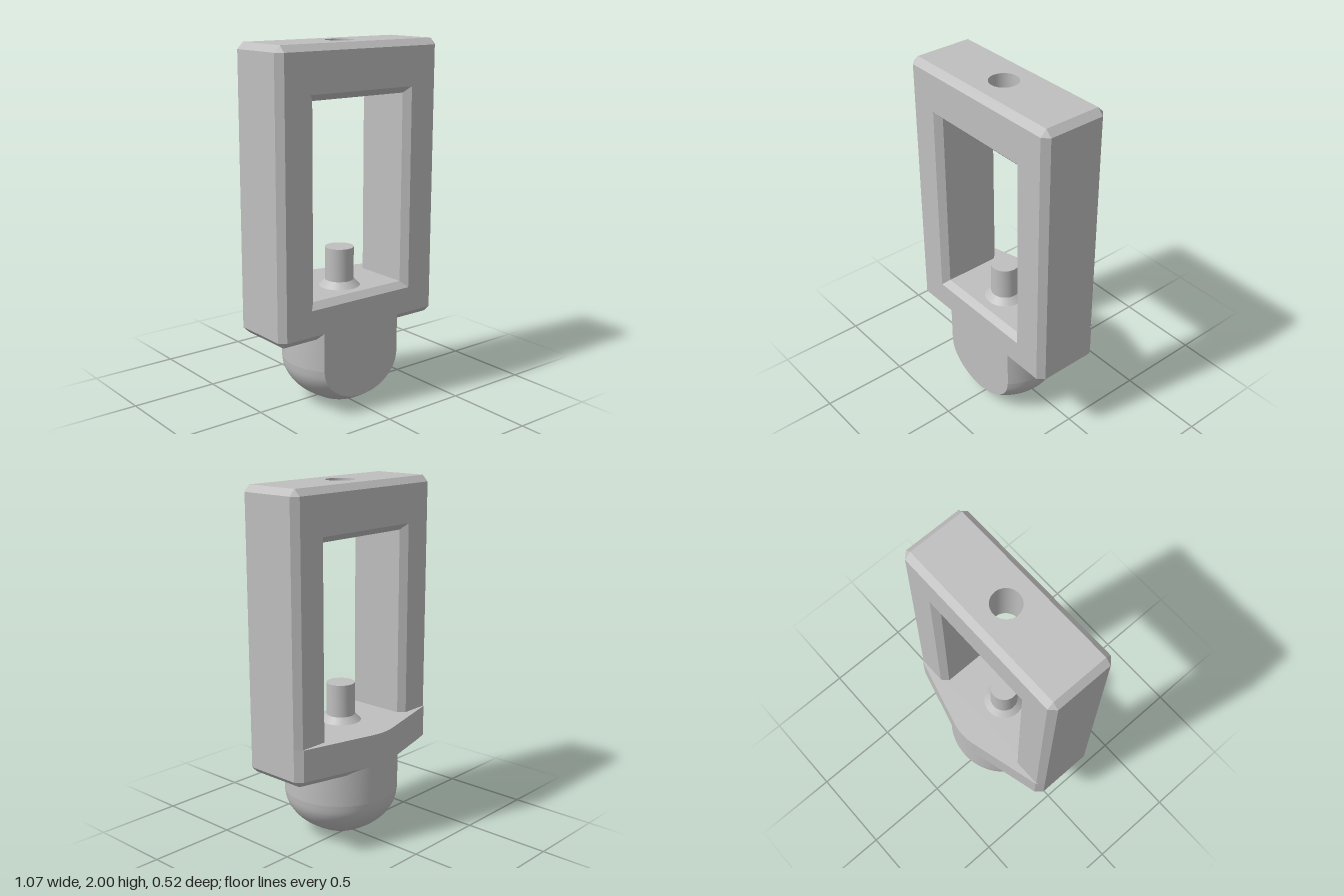
import * as THREE from 'three';
import { toCreasedNormals } from 'three/addons/utils/BufferGeometryUtils.js';

const AXIS_Z = 0.0625;   // z of the vertical axis shared by pin, bore and bowl
const FRONT = 0.26, BACK = -0.135, C = 0.035;   // frame faces and chamfer
const FLOOR = 0.655, CEILING = 1.715, TOP = 2, BOTTOM = 0.44;
const BOWL_R = 0.325, PIN_R = 0.08;

// Surface through rows of equally many points; skip(row, column) leaves openings.
function grid(rows, skip = () => false) {
  const n = rows[0].length, index = [];
  for (let k = 0; k < rows.length - 1; k++) {
    for (let j = 0; j < n - 1; j++) {
      if (skip(k, j)) continue;
      const a = k * n + j, b = a + 1, c = b + n, d = a + n;
      index.push(a, b, c, a, c, d);
    }
  }
  const geo = new THREE.BufferGeometry();
  geo.setAttribute('position', new THREE.Float32BufferAttribute(rows.flat(2), 3));
  geo.setIndex(index);
  geo.computeVertexNormals();
  return geo;
}

// Closed rectangular loop with corners cut by c, counter-clockwise from the front.
function loop(x, y0, y1, c, z) {
  const p = [
    [x - c, y0], [x, y0 + c], [x, y1 - c], [x - c, y1],
    [c - x, y1], [-x, y1 - c], [-x, y0 + c], [c - x, y0],
  ].map(([px, py]) => [px, py, z]);
  return [...p, p[0]];
}

// Horizontal panel pierced by the bore.
function boredPanel(halfWidth, y, facingUp) {
  const s = facingUp ? -1 : 1;
  const zs = [s * (BACK + C), s * (FRONT - C)];
  const shape = new THREE.Shape([
    [-halfWidth, zs[0]], [halfWidth, zs[0]], [halfWidth, zs[1]], [-halfWidth, zs[1]],
  ].map(([x, z]) => new THREE.Vector2(x, z)));
  const hole = new THREE.Path();
  hole.absarc(0, s * AXIS_Z, PIN_R, 0, Math.PI * 2);
  shape.holes.push(hole);
  return new THREE.ShapeGeometry(shape, 32).rotateX(s * Math.PI / 2).translate(0, y, 0);
}

export function createModel() {
  const group = new THREE.Group();
  const grey = new THREE.MeshStandardMaterial({ color: 0xbfbfbf, side: THREE.DoubleSide });
  grey.name = 'grey';
  const add = (name, geo) => {
    const mesh = new THREE.Mesh(geo, grey);
    mesh.name = name;
    group.add(mesh);
    return mesh;
  };

  // Frame: chamfered outside and window, wrapped as one ring of sections
  const zb = BACK + C, zf = FRONT - C, X = 0.535, W = 0.305;
  const sections = [
    loop(X, BOTTOM, TOP, C, zb), loop(X, BOTTOM, TOP, C, zf),
    loop(X - C, BOTTOM + C, TOP - C, 0, FRONT),
    loop(W + C, FLOOR - C, CEILING + C, 0, FRONT),
    loop(W, FLOOR, CEILING, 0, zf), loop(W, FLOOR, CEILING, 0, zb),
    loop(W + C, FLOOR - C, CEILING + C, 0, BACK),
    loop(X - C, BOTTOM + C, TOP - C, 0, BACK),
  ];
  const frame = grid([...sections, sections[0]], (k, j) => j === 3 && (k === 0 || k === 4)).toNonIndexed();
  frame.computeVertexNormals();
  add('frame', frame);

  // Top bar faces and the bore joining them
  add('frameTop', boredPanel(X - C, TOP, true));
  add('windowCeiling', boredPanel(W, CEILING, false));
  const bore = new THREE.CylinderGeometry(PIN_R, PIN_R, TOP - CEILING, 48, 1, true);
  // Turn the wall inward
  bore.index.array.reverse();
  bore.attributes.normal.applyMatrix4(new THREE.Matrix4().makeScale(-1, 1, -1));
  add('bore', bore).position.set(0, (TOP + CEILING) / 2, AXIS_Z);

  // Rear shelf: tapers to a rounded nose, chamfered underneath
  const PHI = 0.26;
  const shelfRow = (y, inset) => {
    const cx = 0.5 - inset * Math.sin(PHI), cz = -0.14 + inset * Math.cos(PHI);
    const row = [[X - inset, y, zb], [cx, y, cz]];
    for (let i = 0; i <= 12; i++) {
      const a = PHI * (1 - i / 6), r = BOWL_R - inset;
      row.push([r * Math.sin(a), y, AXIS_Z - r * Math.cos(a)]);
    }
    return [...row, [-cx, y, cz], [inset - X, y, zb]];
  };
  const low = shelfRow(BOTTOM, C), high = shelfRow(FLOOR, 0);
  const mid = (y, z) => low.map(() => [0, y, z]);
  const shelf = grid([mid(BOTTOM, zb), low, shelfRow(BOTTOM + C, 0), high, mid(FLOOR, zb)]);
  add('rearShelf', toCreasedNormals(shelf, 0.4));

  // Bowl: turned profile sliced flat at the front
  const cut = FRONT - AXIS_Z;
  const curve = new THREE.SplineCurve([
    [0.07, 0.002], [0.12, 0.016], [cut, 0.06], [0.25, 0.1],
    [0.29, 0.148], [0.315, 0.2], [BOWL_R, 0.26],
  ].map(([r, y]) => new THREE.Vector2(r, y)));
  const profile = [new THREE.Vector2(0.0001, 0), ...curve.getPoints(36),
    new THREE.Vector2(BOWL_R, BOTTOM + C)];
  const rows = profile.map(({ x: r, y }) => {
    const start = r > cut ? Math.acos(cut / r) : 0;
    return Array.from({ length: 65 }, (_, i) => {
      const t = start + (2 * Math.PI - 2 * start) * i / 64;
      return [r * Math.sin(t), y, AXIS_Z + r * Math.cos(t)];
    });
  });
  add('bowl', grid(rows));

  // Flat front of the bowl
  const edge = profile.filter(p => p.x >= cut - 1e-6)
    .map(p => new THREE.Vector2(Math.sqrt(Math.max(0, p.x * p.x - cut * cut)), p.y));
  const mirrored = edge.slice(1).reverse().map(p => new THREE.Vector2(-p.x, p.y));
  add('bowlFront', new THREE.ShapeGeometry(new THREE.Shape([...edge, ...mirrored])))
    .position.z = FRONT;

  // Pin with flared foot
  const pin = new THREE.LatheGeometry([
    [0.115, FLOOR], [PIN_R, FLOOR + C], [PIN_R, 0.875], [0, 0.875],
  ].map(([r, y]) => new THREE.Vector2(r, y)), 48);
  add('pin', toCreasedNormals(pin, 0.5)).position.z = AXIS_Z;

  return group;
}
